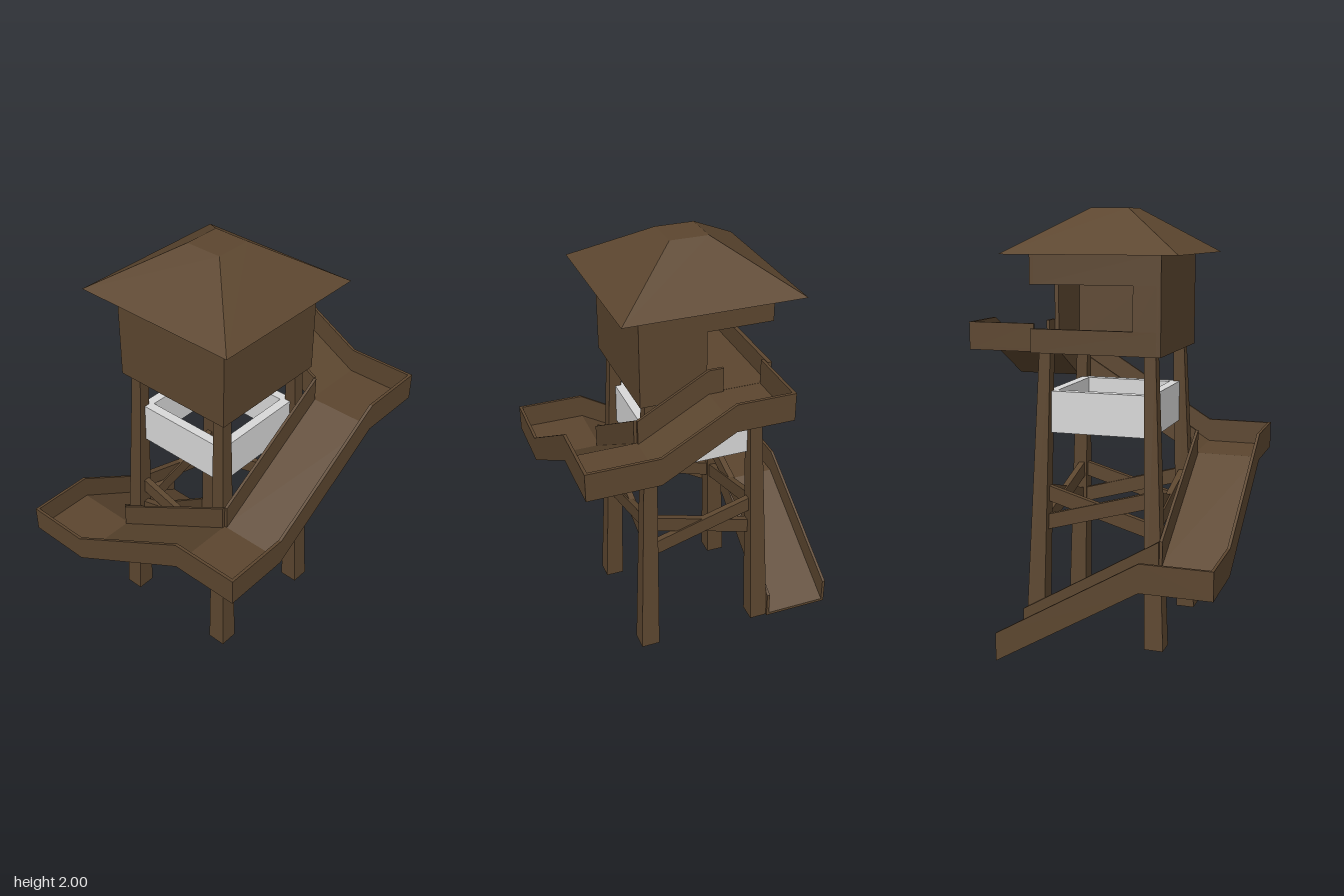
import * as THREE from 'three';

const wood = new THREE.MeshStandardMaterial({ color: 0x5c462f });
wood.name = 'brown wood';
const pale = new THREE.MeshStandardMaterial({ color: 0xd9d9d9 });
pale.name = 'pale grey';

function add(parent, name, geometry, material = wood) {
  const mesh = new THREE.Mesh(geometry, material);
  mesh.name = name;
  parent.add(mesh);
  return mesh;
}

// Box given by its minimum and maximum on each axis
function span(parent, name, [x0, x1], [y0, y1], [z0, z1], material) {
  const mesh = add(parent, name, new THREE.BoxGeometry(x1 - x0, y1 - y0, z1 - z0), material);
  mesh.position.set((x0 + x1) / 2, (y0 + y1) / 2, (z0 + z1) / 2);
  return mesh;
}

// Square frustum from y0 to y1, each end given as [half width, centre x, centre z]
function frustum(y0, y1, bottom, top) {
  const g = new THREE.BoxGeometry(2, 1, 2);
  const p = g.attributes.position;
  for (let i = 0; i < p.count; i++) {
    const up = p.getY(i) > 0;
    const [half, cx, cz] = up ? top : bottom;
    p.setXYZ(i, p.getX(i) * half + cx, up ? y1 : y0, p.getZ(i) * half + cz);
  }
  g.computeVertexNormals();
  return g;
}

// Strip of constant height following a path of [u, y], extruded along z from z0 to z1
function strip(path, height, z0, z1) {
  const points = [...path, ...path.map(([u, y]) => [u, y + height]).reverse()];
  const shape = new THREE.Shape(points.map(([u, y]) => new THREE.Vector2(u, y)));
  const g = new THREE.ExtrudeGeometry(shape, { depth: z1 - z0, bevelEnabled: false });
  return g.translate(0, 0, z0);
}

export function createModel() {
  const model = new THREE.Group();
  model.name = 'slideTower';
  const tower = new THREE.Group();
  tower.name = 'tower';
  tower.position.set(0.004, 0, -0.005);
  model.add(tower);

  // Tapering, inward-leaning legs
  for (const sx of [-1, 1]) for (const sz of [-1, 1]) {
    add(tower, 'leg', frustum(0, 1.36,
      [0.045, sx * 0.293, sz * 0.293], [0.027, sx * 0.25, sz * 0.25]));
  }

  // Crossed braces and pale guard panels on each side
  for (let i = 0; i < 4; i++) {
    const side = new THREE.Group();
    side.name = 'frameSide';
    side.rotation.y = i * Math.PI / 2;
    tower.add(side);
    for (const s of [-1, 1]) {
      const brace = add(side, 'crossBrace', new THREE.BoxGeometry(0.55, 0.07, 0.03));
      brace.position.set(0, 0.62, 0.265 + s * 0.004);
      brace.rotation.z = s * 0.277;
    }
    span(side, 'guardPanel', [-0.255, 0.21], [0.975, 1.17], [0.21, 0.255], pale);
  }

  // Cabin walls, open at the back left corner
  const H = 0.308, T = 0.02, y0 = 1.35, y1 = 1.8, lintel = 1.66;
  const house = new THREE.Group();
  house.name = 'cabin';
  tower.add(house);
  span(house, 'cabinFloor', [-H + T, H - T], [y0, y0 + 0.015], [-H, H - T]);
  span(house, 'frontWall', [-H, H], [y0, y1], [H - T, H]);
  span(house, 'rightWall', [H - T, H], [y0, y1], [-H, H - T]);
  span(house, 'backWall', [0, H - T], [y0, y1], [-H, -H + T]);
  span(house, 'doorLintel', [-H, 0], [lintel, y1], [-H, -H + T]);
  span(house, 'windowLintel', [-H, -H + T], [lintel, y1], [-H + T, H - T]);
  span(house, 'windowSill', [-H, -H + T], [y0, 1.46], [-H, H - T]);
  span(house, 'windowPost', [-H, -H + T], [1.46, lintel], [0.18, H - T]);

  // Flat-topped hipped roof
  add(house, 'roof', frustum(1.795, 2, [0.412, 0, 0], [0.09, 0, 0]));

  // Slide: four descending channels around the tower, each ending in a corner landing.
  // u runs downhill; inner and outer are distances from the tower axis.
  const X = 0.657, Z = 0.636, kx = 0.33, kz = 0.312, wall = 0.014, height = 0.13;
  const sides = [
    { name: 'back', inner: kz, outer: Z,
      path: [[-0.265, 1.35], [0, 1.35], [kx, 1.165], [X, 1.165]],
      inside: [[-0.07, 1.35], [0, 1.35], [kx, 1.165]] },
    { name: 'right', inner: kx, outer: X,
      path: [[-Z, 1.165], [-kz, 1.165], [kz, 0.78], [Z, 0.78]] },
    { name: 'front', inner: kz, outer: Z,
      path: [[-X, 0.78], [-kx, 0.78], [kx, 0.394], [X, 0.394]] },
    { name: 'left', inner: kx, outer: X,
      path: [[-Z, 0.394], [-kz, 0.394], [0.353, 0]], inside: [[-kz, 0.394], [0.353, 0]] },
  ];
  sides.forEach(({ name, inner, outer, path, inside }, i) => {
    const slide = new THREE.Group();
    slide.name = name + 'Slide';
    slide.rotation.y = -i * Math.PI / 2;
    model.add(slide);
    add(slide, 'outerWall', strip(path, height, -outer, -outer + wall));
    add(slide, 'innerWall', strip(inside ?? path.slice(1, 3), height, -inner - wall, -inner));
    add(slide, 'slideFloor', strip(i ? path.slice(1) : path, 0.014, -outer + wall / 2, -inner));
    if (i === 0) span(slide, 'endWall', [-0.265, -0.265 + wall], [1.35, 1.48], [-outer, -inner]);
  });

  return model;
}
